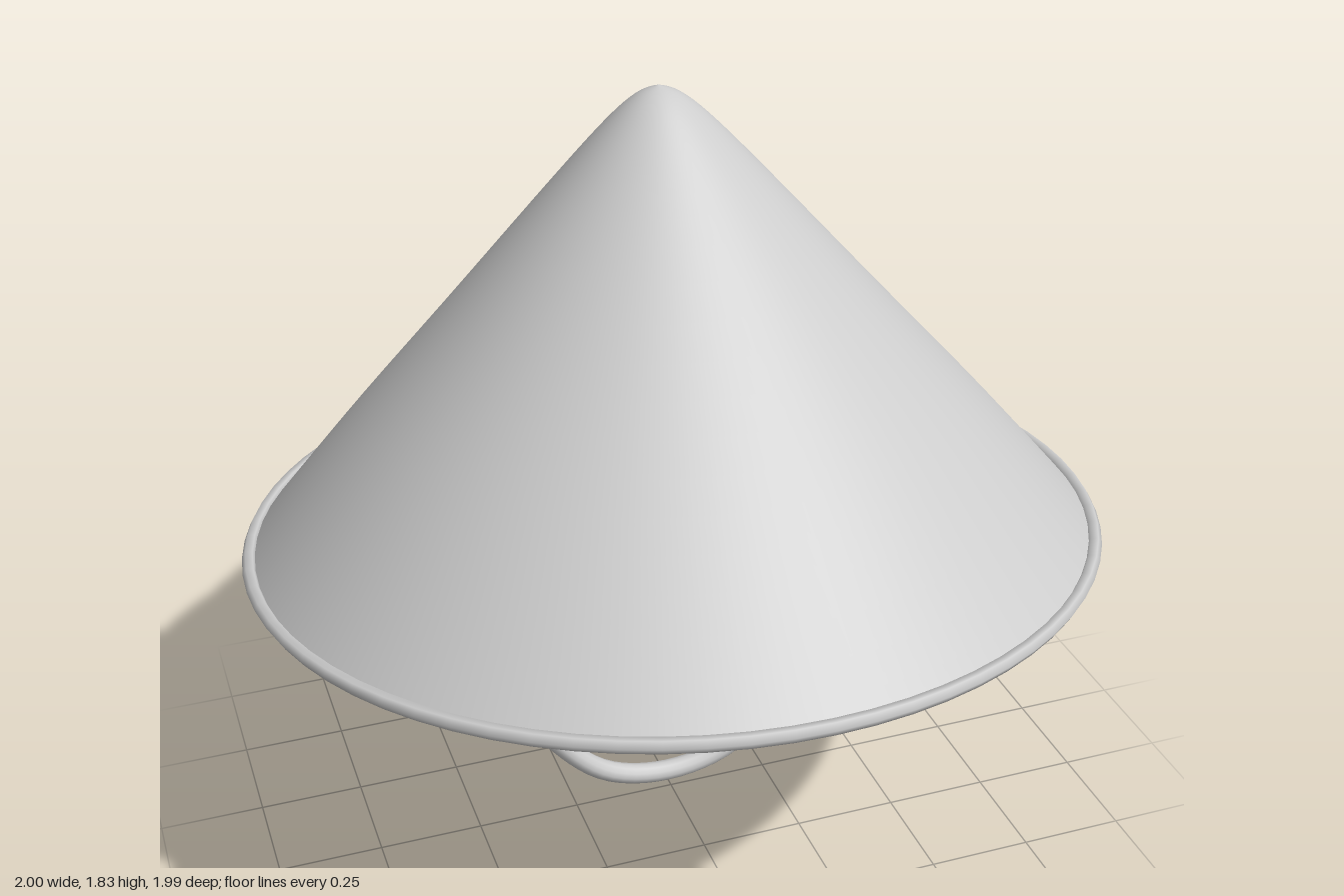
import * as THREE from 'three';

export function createModel() {
  const model = new THREE.Group();
  model.name = 'conicalHat';
  const straw = new THREE.MeshStandardMaterial({ color: 0xcccccc, side: THREE.DoubleSide });
  straw.name = 'pale grey';

  const add = (parent, name, geometry) => {
    const mesh = new THREE.Mesh(geometry, straw);
    mesh.name = name;
    parent.add(mesh);
    return mesh;
  };

  // Crown and rim lean back together
  const hat = new THREE.Group();
  hat.name = 'hat';
  hat.position.y = 0.8;
  hat.rotation.x = -0.08;
  model.add(hat);

  // Thin, slightly bulging cone with a softened tip
  const profile = new THREE.SplineCurve([
    [0.975, 0], [0.75, 0.262], [0.5, 0.54], [0.25, 0.82],
    [0.12, 0.96], [0.05, 1.02], [0, 1.04],
  ].map(([r, y]) => new THREE.Vector2(r, y)));
  const points = profile.getPoints(28);
  points.forEach((p) => { p.x = Math.max(p.x, 0); });
  add(hat, 'crown', new THREE.LatheGeometry(points, 72));

  // Bound edge
  const rim = new THREE.TorusGeometry(0.982, 0.017, 6, 72);
  rim.rotateX(Math.PI / 2);
  add(hat, 'rim', rim);

  // Chin strap, mirrored from one half, hanging inside the crown
  const half = [
    [0.64, 1.0, -0.01], [0.61, 0.85, -0.015], [0.555, 0.64, -0.02], [0.45, 0.46, -0.022],
    [0.3, 0.205, -0.028], [0.16, 0.068, -0.03],
  ];
  const path = [
    ...half.map(([x, y, z]) => new THREE.Vector3(-x, y, z)),
    new THREE.Vector3(0, 0.03, -0.03),
    ...half.slice().reverse().map((p) => new THREE.Vector3(...p)),
  ];
  const strap = new THREE.CatmullRomCurve3(path);
  add(model, 'chinStrap', new THREE.TubeGeometry(strap, 80, 0.026, 12));

  // Strap ends
  for (const t of [0, 1]) {
    const cap = add(model, 'strapEnd', new THREE.CircleGeometry(0.026, 12));
    cap.position.copy(strap.getPoint(t));
    cap.lookAt(cap.position.clone().add(strap.getTangent(t).multiplyScalar(t ? 1 : -1)));
  }

  // Flattened tag on the back
  const tagGeometry = new THREE.CylinderGeometry(0.03, 0.14, 0.155, 32);
  tagGeometry.scale(1, 1, 0.28);
  const tag = add(model, 'backTag', tagGeometry);
  tag.position.set(0, 1.28, -0.632);
  tag.rotation.x = 0.26;

  return model;
}
